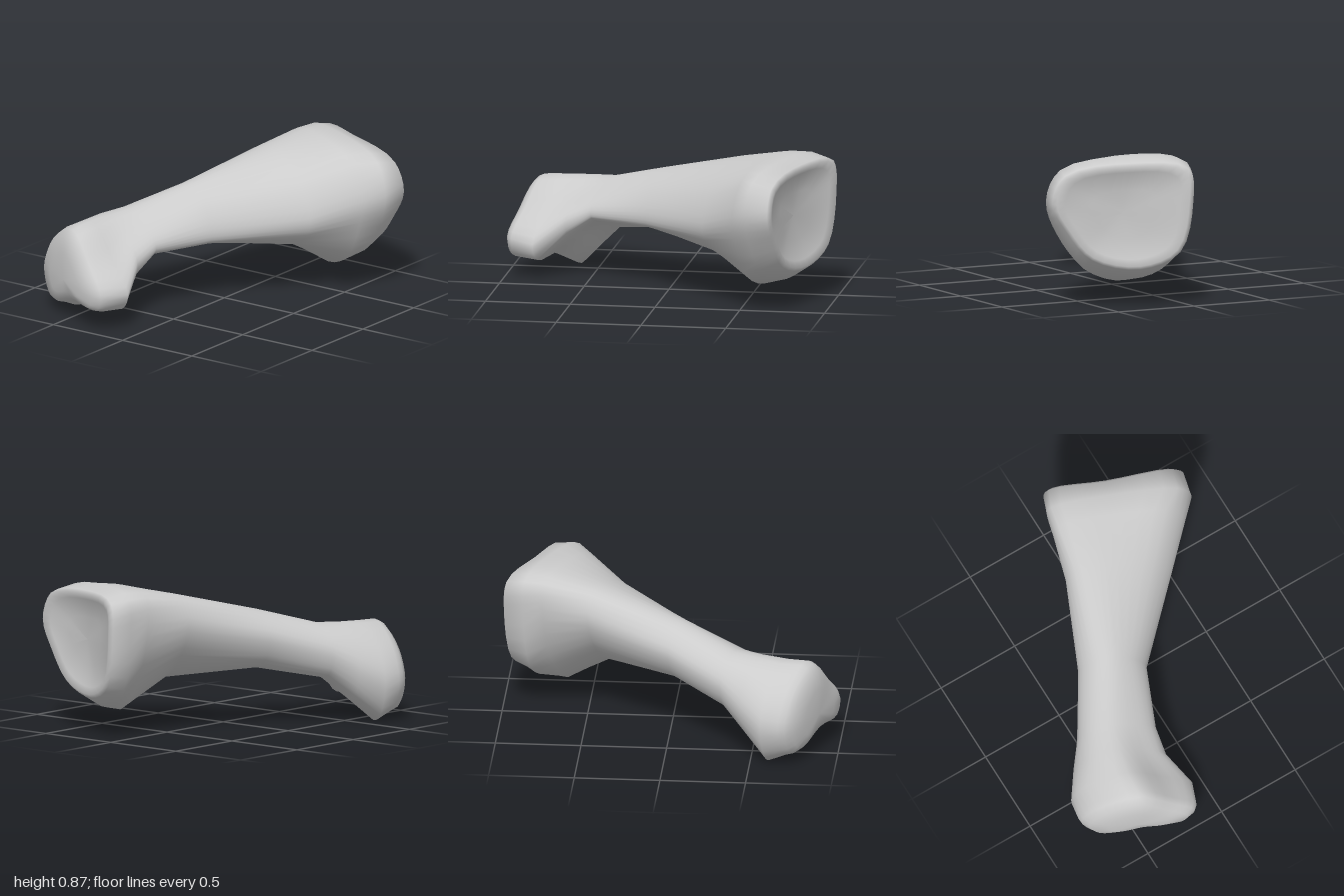
import * as THREE from 'three';
import { toCreasedNormals } from 'three/addons/utils/BufferGeometryUtils.js';

// Cross-sections of the bone: s = distance along the shaft axis, then (u, y) pairs
// running counter-clockwise: right, upper right, top, upper left, left,
// lower left, bottom, lower right, right underside edge.
const section = (s, ...p) => {
  const pts = [];
  for (let i = 0; i < p.length; i += 2) pts.push(new THREE.Vector3(p[i], p[i + 1], s));
  return pts;
};

function boneSections() {
  const head = [
    section(0.895, 0.475, 0.62, 0.40, 0.78, 0, 0.845, -0.33, 0.81, -0.355, 0.62, -0.28, 0.32, -0.05, 0.22, 0.24, 0.28, 0.39, 0.45),
    section(0.80, 0.495, 0.62, 0.41, 0.80, 0, 0.875, -0.335, 0.83, -0.355, 0.64, -0.27, 0.29, -0.07, 0.16, 0.27, 0.23, 0.43, 0.42),
    section(0.68, 0.435, 0.59, 0.32, 0.79, -0.02, 0.868, -0.315, 0.83, -0.345, 0.68, -0.235, 0.35, 0, 0.13, 0.26, 0.20, 0.39, 0.41),
  ];
  // the rim of the joint face sweeps back at both sides
  head[0].forEach(p => { p.z += 0.2 * p.x * p.x; });
  const shaft = [
    section(0.40, 0.305, 0.50, 0.20, 0.69, -0.08, 0.805, -0.265, 0.79, -0.32, 0.66, -0.23, 0.46, -0.05, 0.315, 0.14, 0.30, 0.27, 0.39),
    section(-0.127, 0.06, 0.46, -0.01, 0.60, -0.14, 0.685, -0.25, 0.66, -0.34, 0.55, -0.285, 0.40, -0.16, 0.34, -0.04, 0.355, 0.055, 0.38),
    section(-0.50, 0.05, 0.43, -0.03, 0.51, -0.20, 0.585, -0.33, 0.55, -0.41, 0.44, -0.38, 0.31, -0.27, 0.27, -0.10, 0.33, 0.045, 0.38),
  ];
  const knuckle = [
    section(-0.65, 0.085, 0.36, -0.02, 0.47, -0.19, 0.575, -0.36, 0.52, -0.46, 0.35, -0.42, 0.19, -0.31, 0.14, -0.11, 0.24, 0.07, 0.28),
    section(-0.80, 0.215, 0.22, 0.05, 0.39, -0.17, 0.57, -0.41, 0.44, -0.50, 0.26, -0.44, 0.05, -0.35, 0.005, -0.12, 0.12, 0.16, 0.12),
    section(-0.93, 0.215, 0.24, 0.08, 0.39, -0.13, 0.565, -0.38, 0.44, -0.48, 0.25, -0.41, 0.08, -0.32, 0.055, -0.08, 0.125, 0.17, 0.13),
  ];
  // the end of the knuckle is slightly slanted
  knuckle[2].forEach(p => { p.z -= 0.06 * p.x; });
  return [...head, ...shaft, ...knuckle];
}

// Shrink a row of points about its middle and shift it along the axis
function capRow(row, scale, shift) {
  const mid = row.reduce((m, p) => m.add(p), new THREE.Vector3()).divideScalar(row.length);
  return row.map(p => p.clone().sub(mid).multiplyScalar(scale).add(mid).add(new THREE.Vector3(0, 0, shift)));
}

function boneGeometry() {
  const around = 36;

  // smooth each section into a ring, with straight runs between the rings
  const rows = boneSections().map(pts => {
    const curve = new THREE.CatmullRomCurve3(pts, true);
    return Array.from({ length: around }, (_, j) => curve.getPoint(j / around));
  });

  // hollow joint face at the head, rounded end at the knuckle
  const first = rows[0], last = rows[rows.length - 1];
  rows.unshift(capRow(first, 0.001, -0.045), capRow(first, 0.45, -0.035), capRow(first, 0.82, -0.005), capRow(first, 0.94, 0.014));
  rows.push(capRow(last, 0.95, -0.035), capRow(last, 0.82, -0.068), capRow(last, 0.5, -0.09), capRow(last, 0.001, -0.095));

  // turn (u, y, s) into x, y, z: the shaft lies diagonally
  const position = [], index = [];
  const c = Math.cos(0.369), d = Math.sin(0.369);
  for (const row of rows) for (const p of row) position.push(d * p.z + c * p.x, p.y, -c * p.z + d * p.x);
  for (let i = 0; i < rows.length - 1; i++) {
    for (let j = 0; j < around; j++) {
      const k = (j + 1) % around;
      const a = i * around + j, b = i * around + k;
      index.push(a, b, a + around, b, b + around, a + around);
    }
  }
  const geometry = new THREE.BufferGeometry();
  geometry.setAttribute('position', new THREE.Float32BufferAttribute(position, 3));
  geometry.setIndex(index);

  // centre on x and z, stand on the ground
  geometry.computeBoundingBox();
  const box = geometry.boundingBox, mid = box.getCenter(new THREE.Vector3());
  geometry.translate(-mid.x, -box.min.y, -mid.z);
  return toCreasedNormals(geometry, 1.2);
}

export function createModel() {
  const group = new THREE.Group();
  group.name = 'bone';
  const bone = new THREE.Mesh(boneGeometry(), new THREE.MeshStandardMaterial({ color: 0xcccccc }));
  bone.name = 'longBone';
  group.add(bone);
  return group;
}
